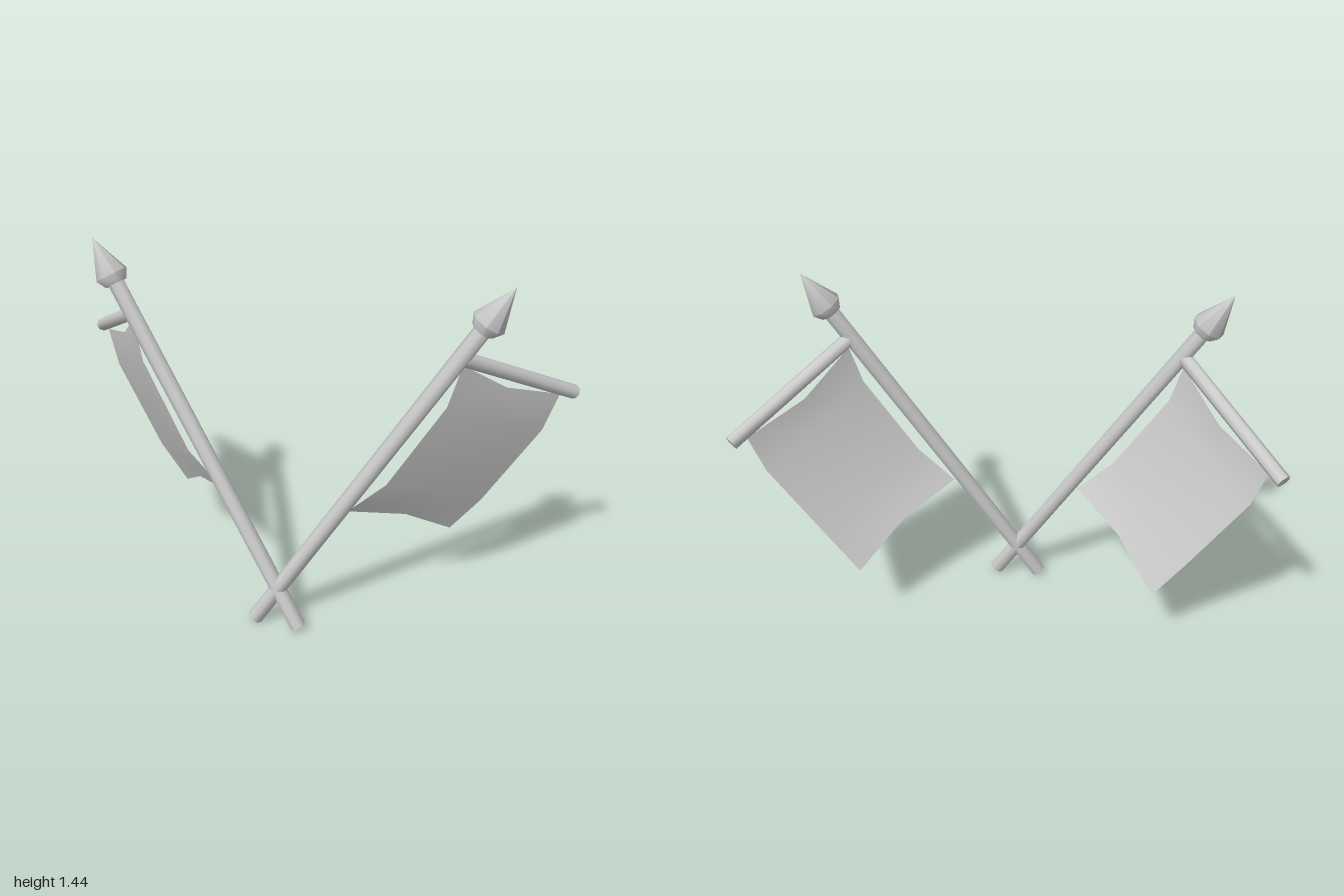
import * as THREE from 'three';
import { toCreasedNormals } from 'three/addons/utils/BufferGeometryUtils.js';

const V = (x, y, z) => new THREE.Vector3(x, y, z);
const UP = V(0, 1, 0);
const grey = new THREE.MeshStandardMaterial({ color: 0xcccccc });
const cloth = new THREE.MeshStandardMaterial({ color: 0xcccccc, side: THREE.DoubleSide });

// Key points of the left (+x) flag
const FOOT = V(-0.09, 0.017, 0.27);
const TIP = V(0.775, 1.44, 0.08);
const BAR_START = V(0.617, 1.18, 0.115);
const BAR_END = V(0.978, 0.927, -0.285);

// Round part standing between two points, from radius r0 to r1
function rod(name, a, b, r0, r1 = r0) {
  const dir = b.clone().sub(a);
  const geo = new THREE.CylinderGeometry(r1, r0, dir.length(), 8);
  const mesh = new THREE.Mesh(toCreasedNormals(geo, 0.9), grey);
  mesh.name = name;
  mesh.position.copy(a).add(b).multiplyScalar(0.5);
  mesh.quaternion.setFromUnitVectors(UP, dir.normalize());
  return mesh;
}

// Pointed head: bevelled collar running into a cone
function spearHead(tip, axis) {
  const profile = [[0, 0], [0.042, 0], [0.063, 0.035], [0, 0.185]];
  const geo = new THREE.LatheGeometry(profile.map(([r, y]) => new THREE.Vector2(r, y)), 8);
  const mesh = new THREE.Mesh(toCreasedNormals(geo, 0.9), grey);
  mesh.name = 'spearHead';
  mesh.quaternion.setFromUnitVectors(UP, axis);
  mesh.position.copy(tip).addScaledVector(axis, -0.185);
  return mesh;
}

// Rippled cloth: rows hold distance down the pole, inner edge, outer edge, inner and outer ripple
function banner(origin, along, down, normal) {
  const rows = [
    [0.025, 0.033, 0.54, 0, 0],
    [0.18, 0.063, 0.567, -0.035, -0.026],
    [0.56, 0.063, 0.568, -0.043, -0.026],
    [0.75, 0.037, 0.57, 0, 0],
  ];
  const pinch = [0.035, 0.015, -0.01, -0.033]; // middle column drawn together
  const geo = new THREE.PlaneGeometry(1, 1, 2, 3);
  const pos = geo.attributes.position;
  for (let i = 0; i < pos.count; i++) {
    const j = Math.floor(i / 3), u = (i % 3) / 2;
    const [t, s0, s1, w0, w1] = rows[j];
    const p = origin.clone()
      .addScaledVector(along, s0 + (s1 - s0) * u)
      .addScaledVector(down, t + (u === 0.5 ? pinch[j] : 0))
      .addScaledVector(normal, w0 + (w1 - w0) * u);
    pos.setXYZ(i, p.x, p.y, p.z);
  }
  geo.computeVertexNormals();
  const mesh = new THREE.Mesh(geo, cloth);
  mesh.name = 'banner';
  return mesh;
}

function flag(side) {
  const m = (v) => V(v.x * side, v.y, v.z);
  const foot = m(FOOT), tip = m(TIP), start = m(BAR_START), end = m(BAR_END);
  const axis = tip.clone().sub(foot).normalize();
  const along = end.clone().sub(start).normalize();
  const normal = axis.clone().cross(along).multiplyScalar(side).normalize();
  const group = new THREE.Group();
  group.name = side > 0 ? 'leftFlag' : 'rightFlag';
  group.add(
    rod('pole', foot, tip.clone().addScaledVector(axis, -0.17), 0.031),
    spearHead(tip, axis),
    rod('crossbar', start, end, 0.027),
    banner(start, along, axis.clone().negate(), normal),
  );
  return group;
}

export function createModel() {
  const model = new THREE.Group();
  model.name = 'crossedFlags';
  for (const side of [1, -1]) model.add(flag(side));
  return model;
}
